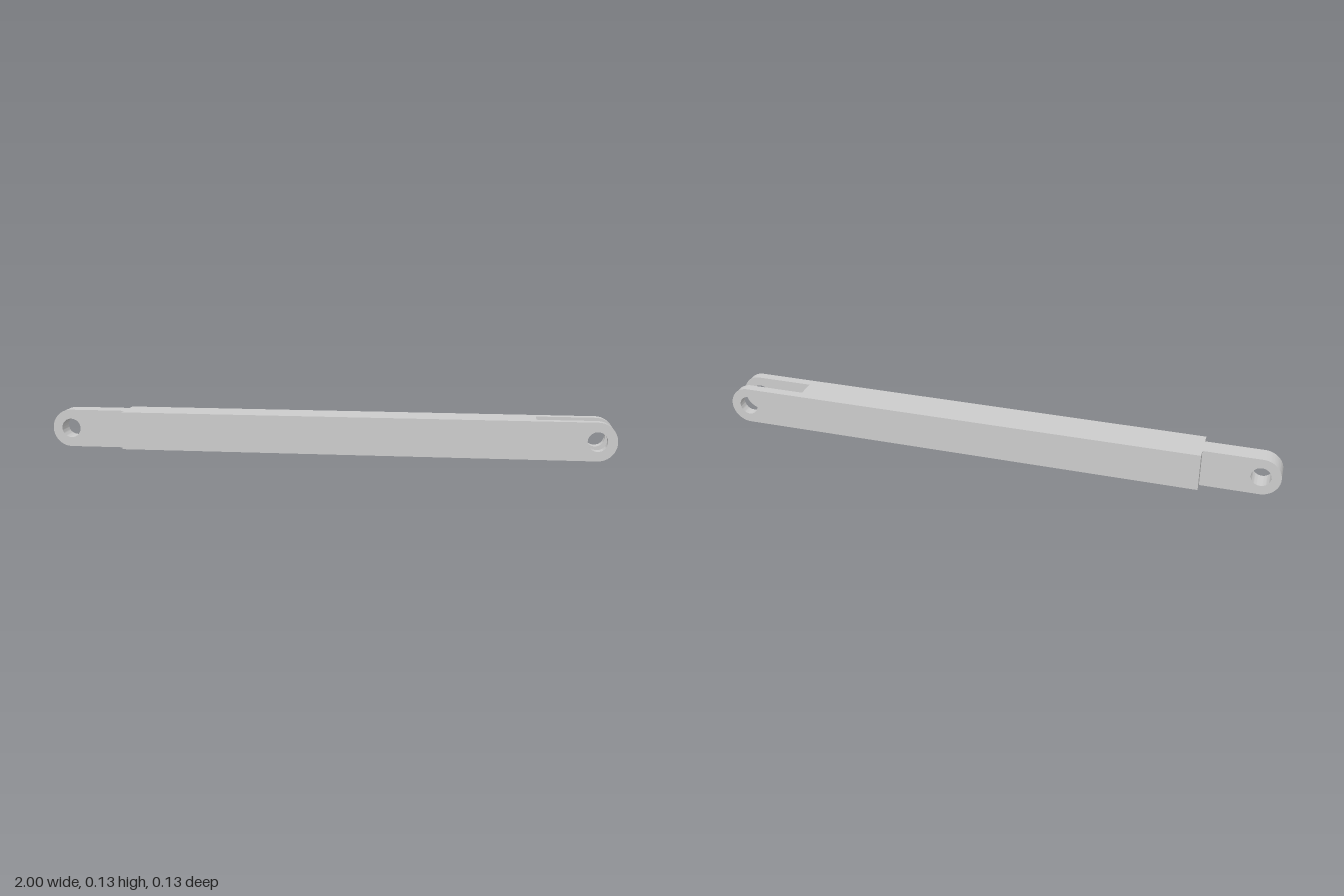
import * as THREE from 'three';
import { toCreasedNormals } from 'three/addons/utils/BufferGeometryUtils.js';

const R = 0.067;        // half height and half depth of the bar
const HOLE = 0.034;     // pin hole radius
const PIN_X = 1 - R;    // pin hole distance from the middle
const TONGUE_X = -0.733; // where the tongue meets the bar
const FORK_X = 0.728;   // bottom of the fork slot
const T = 0.0335;       // half thickness of the tongue and half width of the slot

// Flat lug with a round end and a pin hole, running from root towards side (+1 or -1)
function lugGeometry(rootX, side, z0, z1) {
  const pin = PIN_X * side;
  const shape = new THREE.Shape();
  shape.moveTo(rootX, -R * side);
  shape.lineTo(pin, -R * side);
  const start = -Math.PI / 2 * side;
  shape.absarc(pin, 0, R, start, start + Math.PI, false);
  shape.lineTo(rootX, R * side);
  shape.closePath();
  const hole = new THREE.Path();
  hole.absarc(pin, 0, HOLE, 0, Math.PI * 2, true);
  shape.holes.push(hole);
  const geometry = new THREE.ExtrudeGeometry(shape, {
    depth: z1 - z0, bevelEnabled: false, curveSegments: 32,
  });
  geometry.translate(0, R, z0);
  return toCreasedNormals(geometry, Math.PI / 6);
}

export function createModel() {
  const group = new THREE.Group();
  group.name = 'linkBar';
  const material = new THREE.MeshStandardMaterial({ color: 0xcccccc });
  const add = (name, geometry) => {
    const mesh = new THREE.Mesh(geometry, material);
    mesh.name = name;
    group.add(mesh);
  };

  // Square bar between tongue and fork
  const bar = new THREE.BoxGeometry(FORK_X - TONGUE_X, 2 * R, 2 * R);
  bar.translate((FORK_X + TONGUE_X) / 2, R, 0);
  add('bar', bar);

  // Single thin tongue on one end, two fork prongs on the other
  add('tongue', lugGeometry(TONGUE_X, -1, -T, T));
  add('frontProng', lugGeometry(FORK_X, 1, T, R));
  add('backProng', lugGeometry(FORK_X, 1, -R, -T));

  return group;
}
